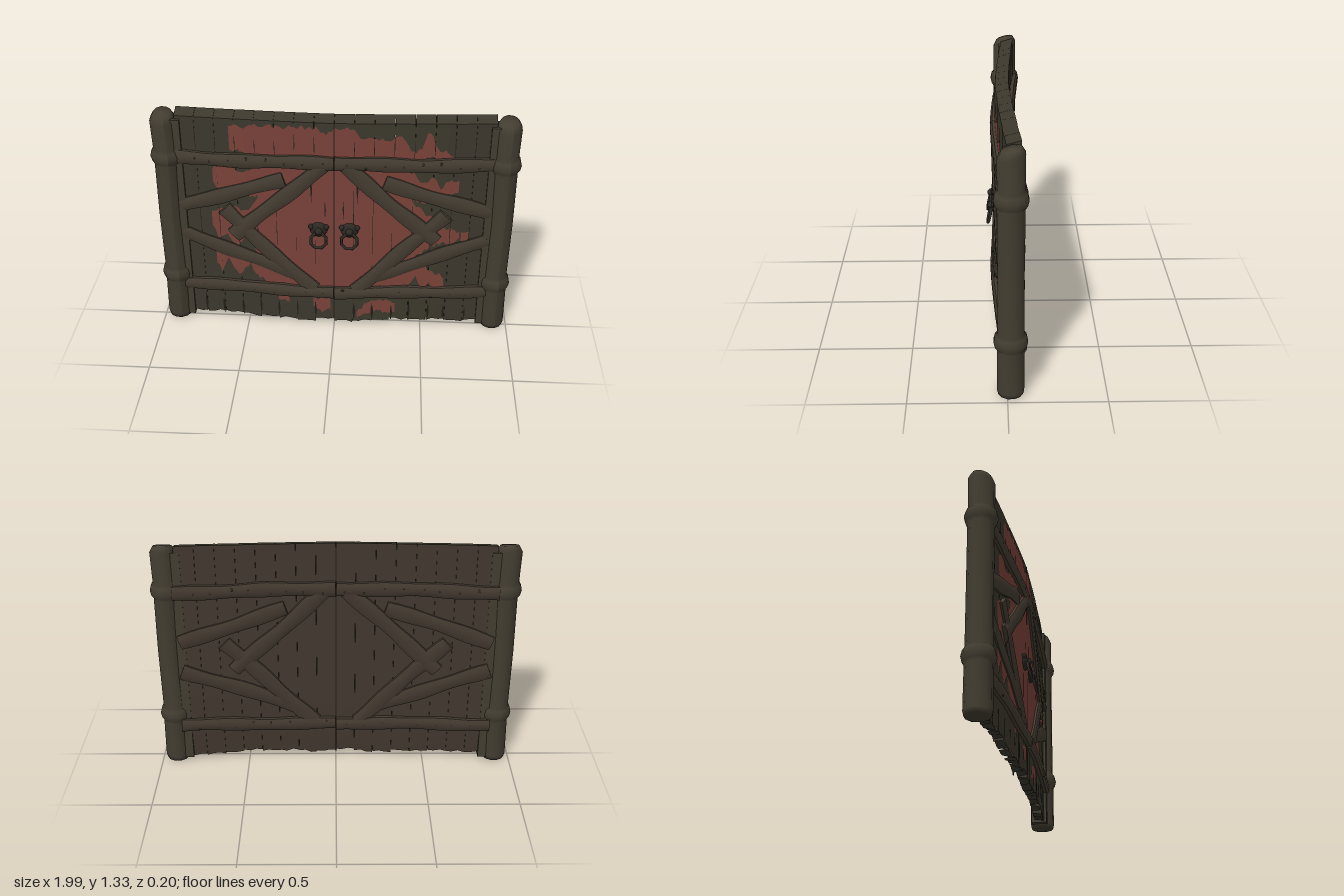
import * as THREE from 'three';

const mat = (name, color, side = THREE.FrontSide) => {
  const m = new THREE.MeshStandardMaterial({ color, side });
  m.name = name;
  return m;
};

// Small seeded generator for wear and wobble
let seed = 7;
const rnd = () => (seed = (seed * 16807) % 2147483647) / 2147483647;
const jitter = (a) => (rnd() - 0.5) * 2 * a;

// The gate bows gently towards the front at the middle
const bow = (x) => 0.012 - 0.042 * Math.pow(Math.min(Math.abs(x) / 0.85, 1.1), 1.5);

function moveVertices(geo, rule) {
  const p = geo.attributes.position, v = new THREE.Vector3();
  for (let i = 0; i < p.count; i++) {
    v.fromBufferAttribute(p, i);
    rule(v);
    p.setXYZ(i, v.x, v.y, v.z);
  }
  geo.computeVertexNormals();
  return geo;
}

export function createModel() {
  const gate = new THREE.Group();
  gate.name = 'woodenGate';
  const postWood = mat('post wood', 0x433d31);
  const beamWood = mat('beam wood', 0x443c31);
  const plankWood = mat('plank wood', 0x3c382d);
  const backWood = mat('back wood', 0x42382f);
  const paint = mat('faded red paint', 0x794239, THREE.DoubleSide);
  const iron = mat('dark iron', 0x2c2923);
  const crack = mat('dark crack', 0x221e18, THREE.DoubleSide);

  const add = (name, geo, material, parent = gate) => {
    const m = new THREE.Mesh(geo, material);
    m.name = name;
    parent.add(m);
    return m;
  };

  // Corner posts with two bulging collars and a slanted top
  const postProfile = [
    [0, 0], [0.064, 0.004], [0.07, 0.03], [0.07, 0.26], [0.08, 0.275], [0.087, 0.305], [0.08, 0.335],
    [0.068, 0.35], [0.067, 0.7], [0.069, 1.02], [0.08, 1.035], [0.087, 1.065], [0.08, 1.095],
    [0.068, 1.11], [0.069, 1.28], [0.05, 1.315], [0, 1.318],
  ].map(([r, y]) => new THREE.Vector2(r, y));
  for (const s of [1, -1]) {
    const geo = new THREE.LatheGeometry(postProfile, 12, Math.PI / 12);
    moveVertices(geo, (v) => {
      if (v.y > 1.2) v.y -= v.z * 0.25;
      v.x += Math.sin(v.y * 9 + s) * 0.003;
    });
    add('post', geo, postWood).position.set(0.912 * s, 0, -0.016);
    // Flat batten joining the post to the planks
    add('postBatten', new THREE.BoxGeometry(0.05, 1.27, 0.09), postWood).position.set(0.845 * s, 0.655, -0.022);
  }

  // Vertical planks with ragged feet and a sloping top edge
  const plankCount = 8, plankW = 0.85 / plankCount;
  for (const s of [1, -1]) {
    for (let i = 0; i < plankCount; i++) {
      const cx = s * (i + 0.5) * plankW, foot = 0.022 + rnd() * 0.022, lift = jitter(0.0015);
      const geo = new THREE.BoxGeometry(plankW - 0.001, 1.3, 0.072, 3, 6, 1);
      moveVertices(geo, (v) => {
        const front = v.z > 0;
        if (v.y > 0.64) v.y = front ? 1.31 : 1.33;
        else if (v.y < -0.64) {
          v.y = foot + jitter(0.01);
          if (!front) v.z += 0.02;
        } else v.y += 0.67;
        v.x += cx;
        v.z += bow(v.x) + lift;
      });
      add('plank', geo, [plankWood, plankWood, plankWood, plankWood, plankWood, backWood]);
    }
  }

  // Rough-hewn timber laid on the front (face 1) or the back (face -1)
  function beam(name, [x1, y1], [x2, y2], width, depth, offset, face) {
    const len = Math.hypot(x2 - x1, y2 - y1), a = Math.atan2(y2 - y1, x2 - x1);
    const geo = new THREE.BoxGeometry(len, width, depth, 14, 4, 1);
    const phase = rnd() * 6;
    moveVertices(geo, (v) => {
      const edge = Math.abs(v.y) > width * 0.4;
      if (edge && v.z * face > 0) v.z *= 0.35;
      v.y *= 1 + 0.09 * Math.sin(v.x * 17 + phase);
      v.y += 0.004 * Math.sin(v.x * 9 + phase);
      const x = v.x * Math.cos(a) - v.y * Math.sin(a) + (x1 + x2) / 2;
      const y = v.x * Math.sin(a) + v.y * Math.cos(a) + (y1 + y2) / 2;
      v.set(x, y, v.z + bow(x) + offset * face);
    });
    add(name, geo, face > 0 ? beamWood : backWood);
  }
  const braces = [
    [[0.06, 1.06], [0.56, 0.59], 0.085, 0.048],
    [[0.12, 0.25], [0.61, 0.76], 0.085, 0.046],
    [[0.27, 0.96], [0.85, 0.765], 0.085, 0.042],
    [[0.22, 0.35], [0.85, 0.59], 0.085, 0.041],
  ];
  for (const face of [1, -1]) {
    for (const s of [1, -1]) {
      for (const [a, b, w, off] of braces) beam('brace', [a[0] * s, a[1]], [b[0] * s, b[1]], w, 0.028, off, face);
      beam('topRail', [0.002 * s, 1.075], [0.87 * s, 1.068], 0.078, 0.034, 0.048, face);
      beam('bottomRail', [0.002 * s, 0.232], [0.87 * s, 0.245], 0.075, 0.034, 0.049, face);
      // Pegs along the rails
      for (const y of [1.072, 0.238]) {
        for (let i = 0; i < 8; i++) {
          const x = s * (0.06 + i * 0.1 + jitter(0.015));
          const peg = add('peg', new THREE.SphereGeometry(0.009, 6, 4), iron);
          peg.position.set(x, y + jitter(0.018), bow(x) + 0.062 * face);
          peg.scale.z = 0.6;
        }
      }
    }
  }

  // Peeling paint: thin strips between ragged lower and upper edges [x, low, high]
  function paintPatch(points, rough = 0.014) {
    const pos = [], idx = [], n = Math.ceil((points.at(-1)[0] - points[0][0]) / 0.014);
    for (let i = 0; i <= n; i++) {
      const x = points[0][0] + ((points.at(-1)[0] - points[0][0]) * i) / n;
      let k = 0;
      while (k < points.length - 2 && points[k + 1][0] < x) k++;
      const [xa, la, ha] = points[k], [xb, lb, hb] = points[k + 1], t = (x - xa) / (xb - xa);
      const z = bow(x) + 0.0395;
      const low = la + (lb - la) * t + jitter(rough), high = ha + (hb - ha) * t + jitter(rough);
      pos.push(x, low, z, x, Math.max(low, high), z);
      if (i) idx.push(2 * i - 2, 2 * i, 2 * i - 1, 2 * i - 1, 2 * i, 2 * i + 1);
    }
    const geo = new THREE.BufferGeometry();
    geo.setAttribute('position', new THREE.Float32BufferAttribute(pos, 3));
    geo.setIndex(idx);
    geo.computeVertexNormals();
    add('paintPatch', geo, paint);
  }
  // Above the top rail
  paintPatch([[-0.56, 1.13, 1.28], [-0.48, 1.12, 1.27], [-0.44, 1.09, 1.28], [-0.1, 1.09, 1.28], [-0.05, 1.09, 1.25],
    [0.02, 1.09, 1.28], [0.11, 1.09, 1.28], [0.14, 1.09, 1.22], [0.3, 1.09, 1.22], [0.37, 1.09, 1.24], [0.41, 1.09, 1.14],
    [0.46, 1.1, 1.17], [0.5, 1.11, 1.28], [0.54, 1.11, 1.16], [0.63, 1.11, 1.13]]);
  // Central field between the rails
  paintPatch([[-0.42, 0.3, 1.04], [-0.36, 0.27, 1.04], [-0.14, 0.26, 1.05], [0.11, 0.26, 1.05], [0.17, 0.36, 1.04],
    [0.22, 0.28, 1.04], [0.36, 0.27, 1.04], [0.43, 0.3, 1.02]]);
  // Worn side patches
  paintPatch([[-0.66, 0.92, 1.0], [-0.62, 0.88, 1.04], [-0.56, 0.84, 1.04], [-0.5, 0.85, 0.98], [-0.42, 0.85, 1.04]]);
  paintPatch([[-0.68, 0.64, 0.73], [-0.64, 0.55, 0.75], [-0.6, 0.6, 0.75], [-0.55, 0.52, 0.78], [-0.48, 0.6, 0.74], [-0.42, 0.42, 0.85]]);
  paintPatch([[-0.67, 0.4, 0.52], [-0.64, 0.34, 0.52], [-0.6, 0.42, 0.5], [-0.54, 0.31, 0.48], [-0.48, 0.4, 0.47], [-0.42, 0.29, 0.45]]);
  paintPatch([[0.42, 0.85, 1.03], [0.48, 0.84, 0.95], [0.53, 0.83, 1.01], [0.58, 0.84, 0.9], [0.61, 0.88, 0.98], [0.67, 0.9, 0.97]]);
  paintPatch([[0.42, 0.45, 0.85], [0.5, 0.52, 0.76], [0.56, 0.56, 0.74], [0.6, 0.58, 0.68], [0.66, 0.56, 0.65], [0.69, 0.6, 0.64]]);
  paintPatch([[0.42, 0.28, 0.46], [0.46, 0.34, 0.46], [0.51, 0.25, 0.42], [0.54, 0.3, 0.38], [0.59, 0.24, 0.36], [0.62, 0.28, 0.33]]);
  paintPatch([[0.7, 0.59, 0.64], [0.74, 0.58, 0.65]], 0.005);
  // Scraps below the bottom rail
  paintPatch([[-0.12, 0.13, 0.18], [-0.07, 0.08, 0.18], [-0.02, 0.11, 0.18]]);
  paintPatch([[0.13, 0.06, 0.09], [0.19, 0.07, 0.16], [0.25, 0.1, 0.17], [0.35, 0.09, 0.17]]);
  paintPatch([[-0.32, 0.16, 0.19], [-0.26, 0.15, 0.19]], 0.008);

  // Splits in the wood: thin tapering slivers
  function split(x, y0, y1, w) {
    const shape = new THREE.Shape([[0, y0], [w, (y0 + y1) / 2], [0, y1], [-w * 0.7, y0 * 0.4 + y1 * 0.6]]
      .map(([a, b]) => new THREE.Vector2(x + a, b)));
    const geo = moveVertices(new THREE.ShapeGeometry(shape), (v) => (v.z = bow(v.x) + 0.0415));
    add('woodSplit', geo, crack);
  }
  for (const s of [1, -1]) {
    for (let i = 1; i < plankCount; i++) {
      const x = s * i * plankW;
      split(x + jitter(0.01), 0.03, 0.12 + rnd() * 0.07, 0.005 + rnd() * 0.006);
      split(x, 0.3 + rnd() * 0.2, 0.6 + rnd() * 0.4, 0.0022);
      split(x, 1.1, 1.2 + rnd() * 0.08, 0.003);
    }
    split(s * 0.125, 0.82, 0.99, 0.006);
    split(s * 0.05, 0.72, 0.84, 0.005);
  }
  // Seam where the two leaves meet
  for (const face of [1, -1]) {
    add('centreSeam', new THREE.BoxGeometry(0.006, 1.27, 0.006), crack).position.set(0, 0.675, 0.012 + 0.037 * face);
  }

  // Ring knockers
  for (const s of [1, -1]) {
    const knocker = new THREE.Group();
    knocker.name = 'knocker';
    const boss = add('boss', new THREE.SphereGeometry(0.05, 10, 8), iron, knocker);
    boss.position.set(0, 0.04, 0);
    boss.scale.set(1, 0.9, 0.5);
    add('snout', new THREE.SphereGeometry(0.022, 8, 6), iron, knocker).position.set(0, 0.04, 0.022);
    for (const e of [1, -1]) {
      add('lug', new THREE.SphereGeometry(0.016, 6, 5), iron, knocker).position.set(0.042 * e, 0.06, 0.008);
    }
    const ring = add('ring', new THREE.TorusGeometry(0.046, 0.009, 6, 8), iron, knocker);
    ring.position.set(0, -0.015, 0.032);
    ring.rotation.set(-0.22, 0, Math.PI / 8);
    knocker.position.set(0.085 * s, 0.615, 0.05);
    gate.add(knocker);
  }
  return gate;
}
